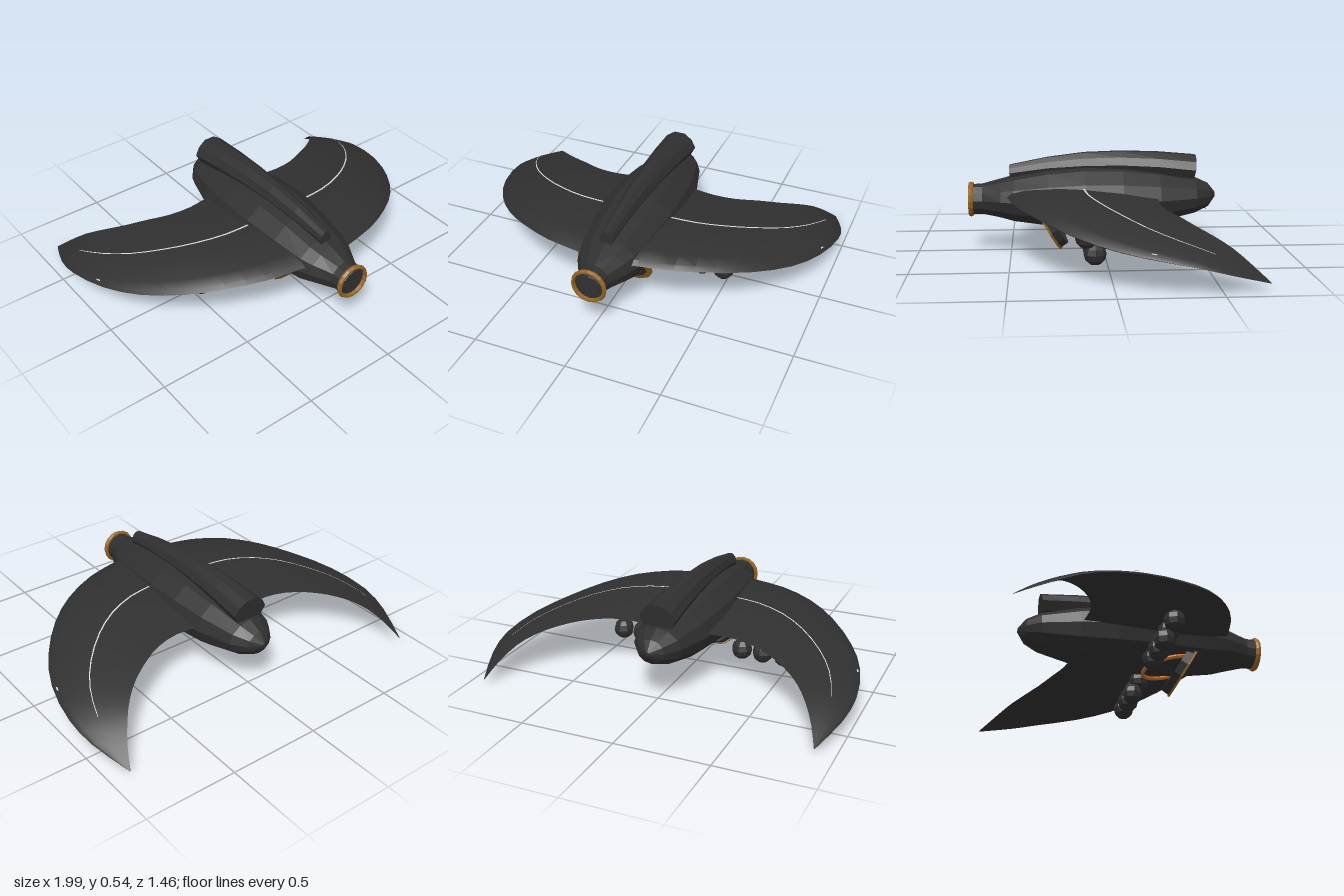
import * as THREE from 'three';
import { toCreasedNormals } from 'three/addons/utils/BufferGeometryUtils.js';

const V = (x, y, z) => new THREE.Vector3(x, y, z);

// Skin a row of closed cross-sections, with flat end caps
function loft(rings, caps = true) {
  const pos = [];
  const tri = (...pts) => pts.forEach((p) => pos.push(p.x, p.y, p.z));
  const n = rings[0].length;
  for (let i = 0; i < rings.length - 1; i++) {
    for (let j = 0; j < n; j++) {
      const k = (j + 1) % n, a = rings[i], b = rings[i + 1];
      tri(a[j], a[k], b[k]);
      tri(a[j], b[k], b[j]);
    }
  }
  const first = rings[0], last = rings[rings.length - 1];
  for (let k = 1; caps && k < n - 1; k++) {
    tri(first[0], first[k + 1], first[k]);
    tri(last[0], last[k], last[k + 1]);
  }
  const g = new THREE.BufferGeometry();
  g.setAttribute('position', new THREE.Float32BufferAttribute(pos, 3));
  g.computeVertexNormals();
  return g;
}

// Faceted version of a built-in geometry
function flat(geometry) {
  const g = geometry.index ? geometry.toNonIndexed() : geometry;
  g.computeVertexNormals();
  return g;
}

// Turned part whose axis points along +z; profile is [radius, z] pairs
function turned(profile, sides) {
  const pts = profile.map(([r, z]) => new THREE.Vector2(r, z));
  return flat(new THREE.LatheGeometry(pts, sides).rotateX(Math.PI / 2));
}

const mirrorRings = (rings) =>
  rings.map((ring) => ring.map((p) => V(-p.x, p.y, p.z))).reverse();

// Wing edges from root to tip
const leading = new THREE.CatmullRomCurve3([
  V(0.1, 0.32, 0.53), V(0.17, 0.32, 0.51), V(0.35, 0.315, 0.47), V(0.54, 0.298, 0.38),
  V(0.7, 0.265, 0.26), V(0.85, 0.22, 0.08), V(0.95, 0.185, -0.12), V(0.997, 0.145, -0.36),
  V(0.978, 0.1, -0.53), V(0.905, 0.04, -0.73)]);
const trailing = new THREE.CatmullRomCurve3([
  V(0.1, 0.31, -0.29), V(0.2, 0.31, -0.285), V(0.3, 0.308, -0.275), V(0.42, 0.3, -0.295),
  V(0.53, 0.288, -0.345), V(0.64, 0.262, -0.41), V(0.73, 0.23, -0.485), V(0.8, 0.185, -0.565),
  V(0.86, 0.115, -0.65), V(0.9, 0.042, -0.73)]);
const thickness = [0.055, 0.055, 0.052, 0.048, 0.042, 0.034, 0.025, 0.015, 0.008, 0.001];
const foil = [[0, 0], [0.03, 0.4], [0.12, 0.75], [0.34, 1], [0.5, 0.95], [0.75, 0.6], [1, 0]];

// Point on the wing at station u (0-9), chord fraction f, height h in thicknesses
function wingPoint(u, f, h, lift = 0) {
  const i = Math.min(Math.floor(u), 8);
  const t = THREE.MathUtils.lerp(thickness[i], thickness[i + 1], u - i);
  const p = leading.getPoint(u / 9).lerp(trailing.getPoint(u / 9), f);
  p.y += t * h + lift;
  return p;
}

export function createModel() {
  const model = new THREE.Group();
  const mat = (name, color) => {
    const m = new THREE.MeshStandardMaterial({ color });
    m.name = name;
    return m;
  };
  const dark = mat('charcoal', 0x303030);
  const gold = mat('dull gold', 0x946424);
  const orange = mat('bright bronze', 0xc0702a);
  const white = mat('pale line', 0xd8d8d8);
  const add = (name, geometry, material, parent = model) => {
    const mesh = new THREE.Mesh(geometry, material);
    mesh.name = name;
    parent.add(mesh);
    return mesh;
  };

  // Fuselage: z, half width, top, bottom
  const hull = [
    [-0.615, 0.012, 0.315, 0.29], [-0.575, 0.075, 0.365, 0.235], [-0.5, 0.13, 0.4, 0.2],
    [-0.3, 0.187, 0.445, 0.152], [-0.1, 0.215, 0.47, 0.134], [0.1, 0.22, 0.475, 0.132],
    [0.3, 0.198, 0.456, 0.138], [0.48, 0.168, 0.42, 0.165], [0.55, 0.14, 0.402, 0.185],
    [0.65, 0.085, 0.375, 0.207], [0.7, 0.08, 0.372, 0.208]];
  add('fuselage', loft(hull.map(([z, w, top, bottom]) =>
    Array.from({ length: 12 }, (_, k) => {
      const a = (k / 12) * Math.PI * 2;
      return V(w * Math.cos(a), (top + bottom) / 2 + ((top - bottom) / 2) * Math.sin(a), z);
    }))), dark);

  // Dorsal spine, widening to the rear: z, half width, top, bottom
  const spine = [
    [-0.505, 0.1, 0.52, 0.4], [-0.3, 0.088, 0.538, 0.42], [-0.1, 0.075, 0.545, 0.43],
    [0.1, 0.063, 0.539, 0.43], [0.3, 0.05, 0.515, 0.425], [0.505, 0.037, 0.475, 0.405]];
  const spineSection = [[0.75, 0], [1, 0.4], [0.75, 0.75], [0.3, 1], [-0.3, 1], [-0.75, 0.75], [-1, 0.4], [-0.75, 0]];
  add('dorsalSpine', loft(spine.map(([z, w, top, bottom]) =>
    spineSection.map(([x, h]) =>
      V(x * w, bottom + h * (top - bottom), z + (z < -0.5 ? 0.015 * (1 - h) : 0))))), dark);

  // Nose port
  const nose = new THREE.Group();
  nose.name = 'nosePort';
  nose.position.set(0, 0.29, 0.7);
  model.add(nose);
  add('noseRing', turned([[0.075, 0], [0.09, 0], [0.096, 0.012], [0.09, 0.025], [0.08, 0.025], [0.075, 0]], 16), gold, nose);
  add('noseFace', turned([[0.078, 0.008], [0.06, 0.008], [0.057, 0.014], [0, 0.014]], 12), dark, nose);

  // Crescent wings with pale pinstripes
  const stations = Array.from({ length: 19 }, (_, i) => i / 2);
  const wing = stations.map((u) => [
    ...foil.slice().reverse().map(([f, h]) => wingPoint(u, f, h)),
    ...foil.slice(1, -1).map(([f, h]) => wingPoint(u, f, -0.75 * h))]);
  const stripe = stations.filter((u) => u >= 1 && u <= 7)
    .map((u) => [0.495, 0.508].map((f) => wingPoint(u, f, 0.95, 0.004)));
  const dash = [6.1, 6.2].map((u) => [0.04, 0.065].map((f) => wingPoint(u, f, 0.6, 0.004)));
  for (const [side, flip] of [['left', (r) => r], ['right', mirrorRings]]) {
    add(side + 'Wing', toCreasedNormals(loft(flip(wing)), 0.5), dark);
    add(side + 'WingStripe', loft(flip(stripe), false), white);
    add(side + 'WingMark', loft(flip(dash), false), white);
  }

  // Two staggered rows of pods under each wing
  const podGeometry = flat(new THREE.SphereGeometry(0.058, 8, 6));
  for (const s of [1, -1]) {
    for (let i = 0; i < 3; i++) {
      add('upperPod', podGeometry, dark).position.set(s * (0.272 + i * 0.123), 0.185, 0.115);
      add('lowerPod', podGeometry, dark).position.set(s * (0.243 + i * 0.121), 0.092, 0.07);
    }
  }

  // Belly ring, dipping to the rear
  const belly = add('bellyRing', flat(new THREE.TorusGeometry(0.15, 0.011, 6, 20).rotateX(Math.PI / 2)), orange);
  belly.position.set(0, 0.165, 0.22);
  belly.rotation.x = -0.24;

  // Tilted chin dish with a hole in the middle
  const dish = new THREE.Group();
  dish.name = 'chinDish';
  dish.position.set(0, 0.15, 0.31);
  dish.rotation.x = 0.515;
  model.add(dish);
  add('dishShell', turned([[0.045, -0.014], [0.1, -0.03], [0.154, -0.052], [0.158, -0.012]], 14), dark, dish);
  add('dishRim', turned([[0.156, -0.012], [0.165, -0.012], [0.165, 0], [0.135, 0]], 14), gold, dish);
  add('dishBand', turned([[0.135, 0], [0.11, -0.003]], 14), dark, dish);
  add('dishCone', turned([[0.11, -0.003], [0.045, -0.012], [0.045, -0.014]], 14), gold, dish);
  return model;
}
